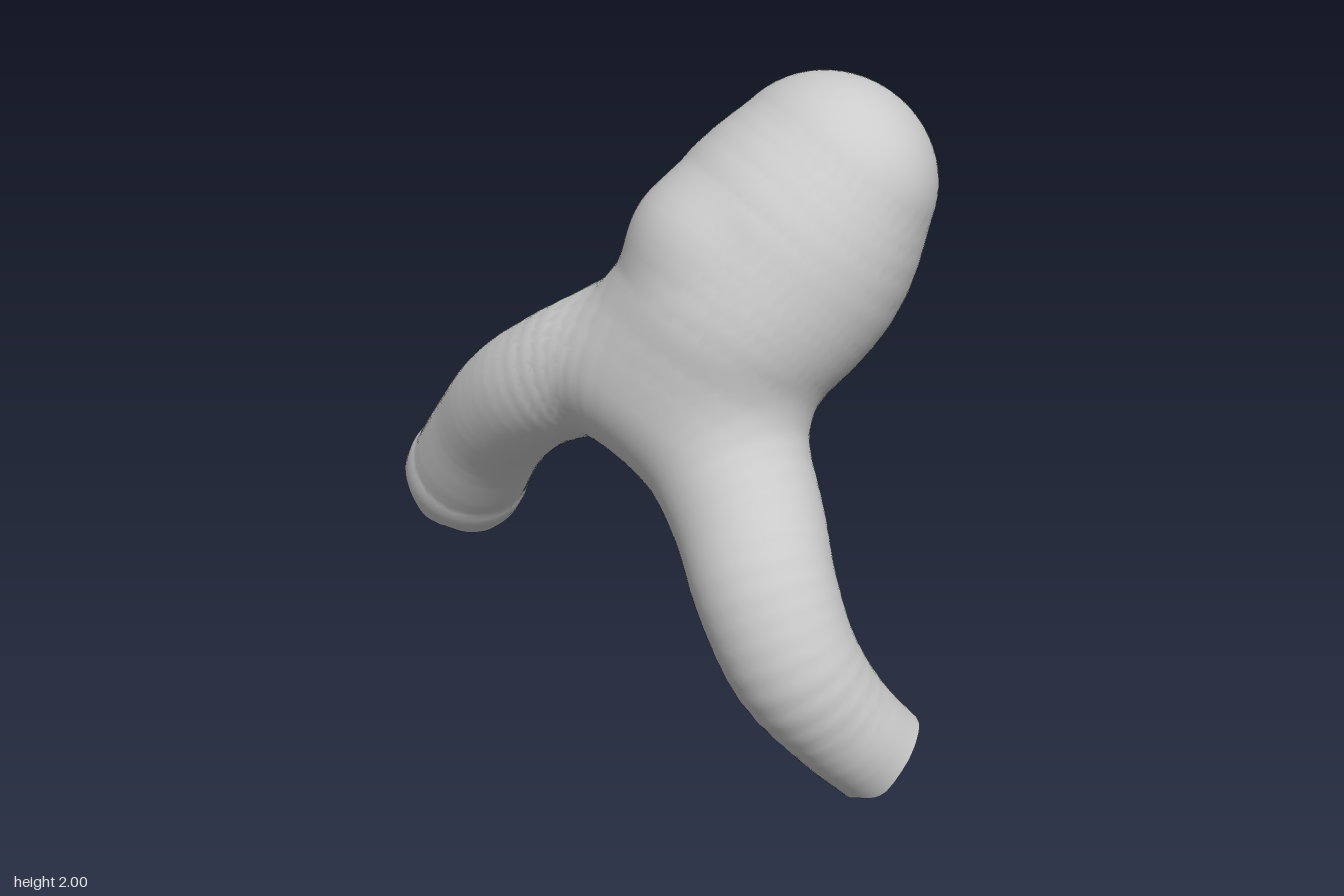
import * as THREE from 'three';

// Swollen sac on a curved, open-ended vessel, skinned as one smooth blended wall.

// Stations: [x, y, z, radius, stretch in z]
const VESSEL = [
  [0.42, -0.01, 0.73, 0.155, 1], [0.31, 0.1, 0.73, 0.155, 1], [0.18, 0.24, 0.73, 0.165, 1],
  [0.05, 0.43, 0.7, 0.19, 1], [0, 0.62, 0.61, 0.205, 1], [0, 0.8, 0.46, 0.22, 1],
  [-0.03, 0.97, 0.3, 0.24, 1], [-0.13, 1.1, 0.1, 0.25, 1], [-0.24, 1.1, -0.08, 0.22, 1],
  [-0.36, 1.01, -0.24, 0.195, 1], [-0.42, 0.89, -0.4, 0.19, 1], [-0.45, 0.75, -0.55, 0.185, 1],
  [-0.475, 0.58, -0.7, 0.19, 1], [-0.48, 0.42, -0.86, 0.19, 1],
];
const SAC = [
  [0.365, 1.68, 0.17, 0.305, 1.2], [0.2, 1.46, 0.17, 0.38, 1.07],
  [0.06, 1.3, 0.17, 0.35, 1.1], [-0.03, 1.15, 0.14, 0.27, 1.15],
];
const BULGES = [[-0.03, 1.52, 0.16, 0.19, 1.3], [-0.1, 1.2, -0.13, 0.14, 1]];

// Planes that cut the two vessel ends open
const CUTS = [
  { n: new THREE.Vector3(Math.SQRT1_2, -Math.SQRT1_2, 0), d: 0.141 },
  { n: new THREE.Vector3(0, -0.67, -0.742), d: 0.222 },
];

// Smooth a list of stations by Catmull-Rom
function refine(st, n) {
  const pos = new THREE.CatmullRomCurve3(st.map(s => new THREE.Vector3(s[0], s[1], s[2])));
  const rad = new THREE.CatmullRomCurve3(st.map(s => new THREE.Vector3(s[3], s[4], 0)));
  return Array.from({ length: n + 1 }, (_, i) => {
    const p = pos.getPoint(i / n), r = rad.getPoint(i / n);
    return [p.x, p.y, p.z, r.x, r.y];
  });
}

// Distance to a chain of tapered round segments
function chainDistance(ch, x, y, z) {
  let best = Infinity;
  for (let i = 0; i < ch.length - 1; i++) {
    const a = ch[i], b = ch[i + 1];
    const ux = b[0] - a[0], uy = b[1] - a[1], uz = b[2] - a[2];
    let t = ((x - a[0]) * ux + (y - a[1]) * uy + (z - a[2]) * uz) / (ux * ux + uy * uy + uz * uz);
    t = Math.min(1, Math.max(0, t));
    const dx = x - a[0] - ux * t, dy = y - a[1] - uy * t;
    const dz = (z - a[2] - uz * t) / (a[4] + (b[4] - a[4]) * t);
    best = Math.min(best, Math.sqrt(dx * dx + dy * dy + dz * dz) - a[3] - (b[3] - a[3]) * t);
  }
  return best;
}

function smoothMin(a, b, k) {
  const h = Math.max(k - Math.abs(a - b), 0) / k;
  return Math.min(a, b) - h * h * k * 0.25;
}

const vesselChain = refine(VESSEL, 52), sacChain = refine(SAC, 16);
const vesselField = (x, y, z) => chainDistance(vesselChain, x, y, z);
function sacField(x, y, z) {
  let d = chainDistance(sacChain, x, y, z);
  for (const [bx, by, bz, r, s] of BULGES) {
    d = smoothMin(d, Math.hypot(x - bx, y - by, (z - bz) / s) - r, 0.06);
  }
  return d;
}
const field = (x, y, z) => smoothMin(vesselField(x, y, z), sacField(x, y, z), 0.13);

function gradient(p) {
  const e = 0.008, { x, y, z } = p;
  return new THREE.Vector3(
    field(x + e, y, z) - field(x - e, y, z),
    field(x, y + e, z) - field(x, y - e, z),
    field(x, y, z + e) - field(x, y, z - e)).divideScalar(2 * e);
}

// Skin the field on a regular grid: one vertex per crossed cell, one quad per crossed edge
function skin() {
  const step = 0.027, min = [-0.8, -0.2, -1.1], size = [60, 84, 80];
  const stride = [1, size[0], size[0] * size[1]];
  const values = new Float32Array(size[0] * size[1] * size[2]);
  const eachCell = fn => {
    for (let k = 1; k < size[2] - 1; k++)
      for (let j = 1; j < size[1] - 1; j++)
        for (let i = 1; i < size[0] - 1; i++) fn(i, j, k, i + j * stride[1] + k * stride[2]);
  };
  values.fill(1);
  eachCell((i, j, k, c) => {
    values[c] = field(min[0] + i * step, min[1] + j * step, min[2] + k * step);
  });

  const verts = [], normals = [], cellVertex = new Map();
  eachCell((i, j, k, c) => {
    let inside = 0;
    for (let m = 0; m < 8; m++) {
      if (values[c + (m & 1) + (m >> 1 & 1) * stride[1] + (m >> 2) * stride[2]] < 0) inside++;
    }
    if (inside === 0 || inside === 8) return;
    const p = new THREE.Vector3(min[0] + (i + 0.5) * step, min[1] + (j + 0.5) * step, min[2] + (k + 0.5) * step);
    // Settle the vertex onto the surface
    for (let n = 0; n < 4; n++) {
      const g = gradient(p);
      p.addScaledVector(g, -field(p.x, p.y, p.z) / Math.max(g.lengthSq(), 0.2));
    }
    cellVertex.set(c, verts.length);
    verts.push(p);
    normals.push(gradient(p).normalize());
  });

  // Slightly ragged trim; vertices just past it slide back to the rim
  const beyond = verts.map(p => {
    for (const { n, d } of CUTS) {
      const over = p.dot(n) - d - 0.01 * Math.sin(38 * p.z + 25 * p.x);
      if (over > 0) return { n, over };
    }
    return null;
  });

  const parts = { sac: [], frontVessel: [], backVessel: [] };
  eachCell((i, j, k, c) => {
    for (let a = 0; a < 3; a++) {
      const here = values[c] < 0;
      if (here === values[c + stride[a]] < 0) continue;
      const b = stride[(a + 1) % 3], d = stride[(a + 2) % 3];
      const q = [c - b - d, c - d, c, c - b].map(id => cellVertex.get(id));
      if (q.includes(undefined) || q.every(v => beyond[v])) continue;
      if (!here) q.reverse();
      const m = verts[q[0]];
      const name = sacField(m.x, m.y, m.z) < vesselField(m.x, m.y, m.z) ? 'sac'
        : m.z > 0.08 ? 'frontVessel' : 'backVessel';
      parts[name].push(q[0], q[1], q[2], q[0], q[2], q[3]);
    }
  });
  verts.forEach((p, v) => { if (beyond[v]) p.addScaledVector(beyond[v].n, -beyond[v].over); });
  return { verts, normals, parts };
}

export function createModel() {
  const group = new THREE.Group();
  group.name = 'vesselWithSac';
  const material = new THREE.MeshStandardMaterial({ color: 0xcccccc, side: THREE.DoubleSide });
  const { verts, normals, parts } = skin();
  const flat = list => new THREE.Float32BufferAttribute(list.flatMap(v => [v.x, v.y, v.z]), 3);
  const position = flat(verts), normal = flat(normals);
  for (const [name, index] of Object.entries(parts)) {
    const geometry = new THREE.BufferGeometry();
    geometry.setAttribute('position', position);
    geometry.setAttribute('normal', normal);
    geometry.setIndex(index);
    // Keep only the vertices each part uses
    const mesh = new THREE.Mesh(geometry.toNonIndexed(), material);
    mesh.name = name;
    group.add(mesh);
  }
  return group;
}
